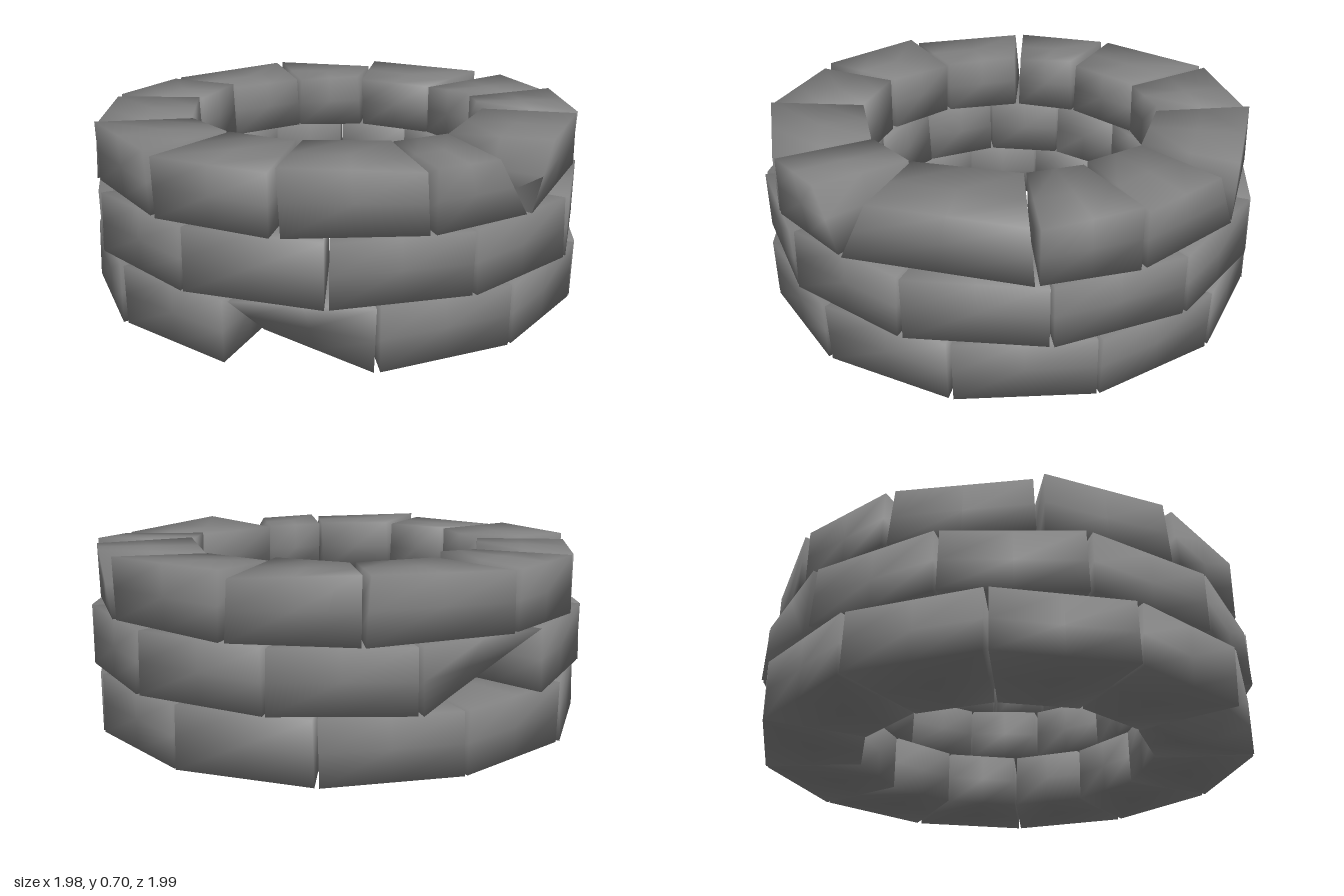
import * as THREE from 'three';
import { mergeVertices } from 'three/addons/utils/BufferGeometryUtils.js';

// seeded random numbers for the rough stone corners
function makeRandom(seed) {
  let s = seed;
  return () => {
    s = (s * 16807) % 2147483647;
    return s / 2147483647;
  };
}

const RAD = Math.PI / 180;
const evenSeams = (first) => Array.from({ length: 12 }, (_, i) => first + i * 30);

// Each course: joint angles (from +x towards +z), height range, outer radius, corner
// roughness in degrees, unevenness of the upper face, and its broken outer corners:
// at the start or finish of a stone, upper or lower, cut back by an angle and a depth.
const COURSES = [
  {
    name: 'bottomCourse', seams: evenSeams(15), y0: 0, y1: 0.232, outer: 1.0, rough: 0.6, uneven: 0,
    broken: [{ stone: 2, end: 1, up: 0, angle: 0, depth: 0.28 }],
  },
  {
    name: 'middleCourse', seams: evenSeams(25), y0: 0.232, y1: 0.464, outer: 1.0, rough: 0.6, uneven: 0,
    broken: [{ stone: 6, end: 0, up: 0, angle: 0, depth: 0.28 }],
  },
  {
    name: 'topCourse', y0: 0.464, y1: 0.688, outer: 0.98, rough: 1.5, uneven: 0.03,
    seams: [40, 64, 95.5, 124, 155, 186.5, 212.5, 246, 274, 307, 336, 358],
    broken: [
      { stone: 0, end: 0, up: 1, angle: 8, depth: 0.02 },
      { stone: 9, end: 0, up: 1, angle: 8, depth: 0 },
      { stone: 11, end: 1, up: 1, angle: 7, depth: 0 },
    ],
  },
];

// one rough corner; end, up and out are 0 or 1
function stoneCorner(start, finish, course, broken, random, end, up, out) {
  let chip = 0.3 + course.rough * random() ** 2;
  let radius = out ? course.outer - 0.012 * random() : 0.593 + 0.01 * random();
  const cut = broken.find((b) => out && b.end === end && b.up === up);
  if (cut) {
    chip += cut.angle;
    radius -= cut.depth;
  }
  const angle = (end ? finish - chip : start + chip) * RAD;
  const y = up ? course.y1 + (random() - 0.45) * course.uneven : course.y0;
  return new THREE.Vector3(radius * Math.cos(angle), y, radius * Math.sin(angle));
}

// one rough block between two joints, its faces blended from eight corners with soft shared normals
function stoneGeometry(start, finish, course, broken, random) {
  const corners = [];
  for (let k = 0; k < 8; k++) {
    corners.push(stoneCorner(start, finish, course, broken, random, k & 1, (k >> 1) & 1, k >> 2));
  }
  const box = new THREE.BoxGeometry(1, 1, 1, 2, 2, 2);
  box.deleteAttribute('normal');
  box.deleteAttribute('uv');
  const geometry = mergeVertices(box);
  const p = geometry.attributes.position;
  for (let i = 0; i < p.count; i++) {
    const end = 0.5 - p.getX(i);
    const up = 0.5 + p.getY(i);
    const out = 0.5 + p.getZ(i);
    const point = new THREE.Vector3();
    corners.forEach((corner, k) => {
      const weight = (k & 1 ? end : 1 - end) * (k & 2 ? up : 1 - up) * (k & 4 ? out : 1 - out);
      point.addScaledVector(corner, weight);
    });
    p.setXYZ(i, point.x, point.y, point.z);
  }
  geometry.computeVertexNormals();
  return geometry;
}

export function createModel() {
  const group = new THREE.Group();
  group.name = 'stoneRing';
  const material = new THREE.MeshStandardMaterial({ color: 0x808080 });
  const random = makeRandom(4711);

  for (const course of COURSES) {
    const ring = new THREE.Group();
    ring.name = course.name;
    course.seams.forEach((start, i) => {
      const finish = i < 11 ? course.seams[i + 1] : course.seams[0] + 360;
      const broken = course.broken.filter((b) => b.stone === i);
      const stone = new THREE.Mesh(stoneGeometry(start, finish, course, broken, random), material);
      stone.name = `stone${i + 1}`;
      ring.add(stone);
    });
    group.add(ring);
  }
  return group;
}
